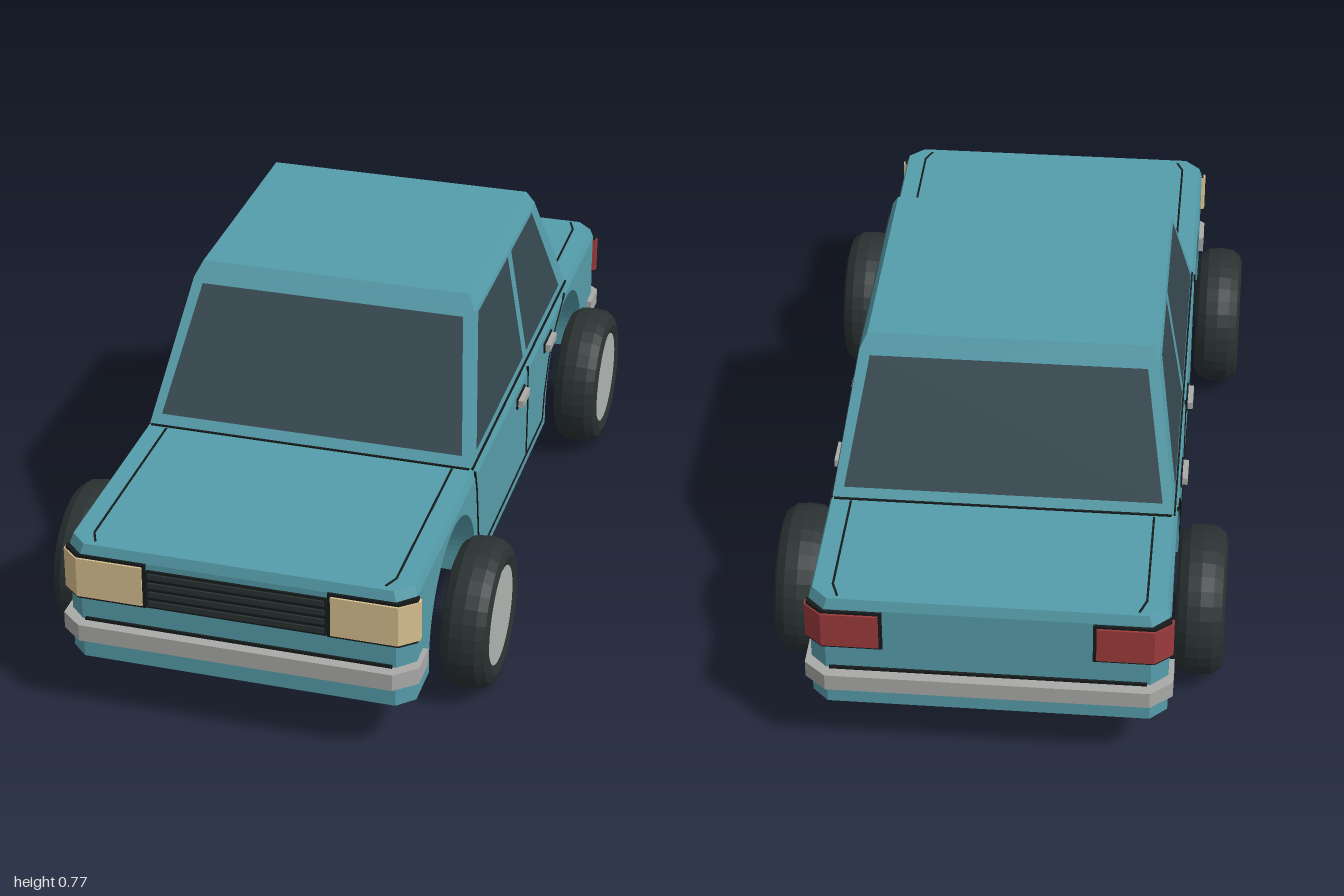
import * as THREE from 'three';

const mat = (color) => new THREE.MeshStandardMaterial({ color, flatShading: true, side: THREE.DoubleSide });

export function createModel() {
  const car = new THREE.Group();
  car.name = 'car';
  const paint = mat(0x569dab), glass = mat(0x35484f), dark = mat(0x2a3232), black = mat(0x161a1a);
  const chrome = mat(0xa9aaa8), hubGrey = mat(0xb0b5b1), cream = mat(0xd8c090), red = mat(0x9c3a3c);

  const add = (name, geometry, material) => {
    const mesh = new THREE.Mesh(geometry, material);
    mesh.name = name;
    car.add(mesh);
    return mesh;
  };
  const box = (name, size, pos, material) =>
    add(name, new THREE.BoxGeometry(...size), material).position.set(...pos);
  // Plan outline of [x, z] points raised from y0 to y1
  const slab = (name, plan, y0, y1, material) => {
    const shape = new THREE.Shape(plan.map(([x, z]) => new THREE.Vector2(x, -z)));
    const g = new THREE.ExtrudeGeometry(shape, { depth: y1 - y0, bevelEnabled: false });
    return add(name, g.rotateX(-Math.PI / 2).translate(0, y0, 0), material);
  };
  // Thin dark strip along a path
  const seam = (name, points) => {
    for (let i = 1; i < points.length; i++) {
      const a = new THREE.Vector3(...points[i - 1]), b = new THREE.Vector3(...points[i]);
      const strip = add(name, new THREE.BoxGeometry(0.005, 0.005, a.distanceTo(b)), black);
      strip.position.copy(a).lerp(b, 0.5);
      strip.lookAt(b);
    }
  };

  // Lower body with wheel arches cut through
  const wheelZ = [-0.583, 0.605], axleY = 0.178, archR = 0.216, halfW = 0.403;
  const side = new THREE.Shape();
  side.moveTo(-0.92, 0.14);
  for (const z of wheelZ) {
    side.lineTo(z - archR, 0.14);
    side.absarc(z, axleY, archR, Math.PI, 0, true);
    side.lineTo(z + archR, 0.14);
  }
  side.lineTo(0.92, 0.14);
  side.lineTo(0.92, 0.41);
  side.lineTo(-0.92, 0.41);
  const bodyGeo = new THREE.ExtrudeGeometry(side, { depth: halfW * 2, bevelEnabled: false, curveSegments: 20 });
  add('body', bodyGeo.rotateY(-Math.PI / 2).translate(halfW, 0, 0), paint);

  // Chamfered nose and tail
  for (const s of [1, -1]) {
    slab(s > 0 ? 'nose' : 'tail', [[-halfW, s * 0.92], [halfW, s * 0.92], [halfW, s * 0.93],
      [0.365, s * 0.967], [-0.365, s * 0.967], [-halfW, s * 0.93]], 0.14, 0.41, paint);
  }

  // Closed loft through rectangular rings of [y, half width, front z, back z]
  const loft = (rings) => {
    const pos = [], index = [];
    for (const [y, w, f, b] of rings) pos.push(w, y, f, w, y, b, -w, y, b, -w, y, f);
    const last = (rings.length - 1) * 4;
    for (let r = 0; r < last; r += 4)
      for (let i = 0; i < 4; i++) {
        const a = r + i, b = r + (i + 1) % 4;
        index.push(a, b, b + 4, a, b + 4, a + 4);
      }
    index.push(last, last + 1, last + 2, last, last + 2, last + 3);
    const g = new THREE.BufferGeometry();
    g.setAttribute('position', new THREE.Float32BufferAttribute(pos, 3));
    g.setIndex(index);
    g.computeVertexNormals();
    return g;
  };

  // Bonnet and boot deck with softened rim
  const deck = [];
  for (const [sx, sz] of [[1, 1], [1, -1], [-1, -1], [-1, 1]]) {
    const corner = [[sx * 0.365, sz * 0.967], [sx * halfW, sz * 0.93]];
    deck.push(...(sx * sz > 0 ? corner : corner.reverse()));
  }
  const deckMesh = slab('deck', deck, 0.41, 0.435, paint);
  const p = deckMesh.geometry.attributes.position;
  for (let i = 0; i < p.count; i++)
    if (p.getY(i) > 0.42) p.setXYZ(i, p.getX(i) * 0.98, p.getY(i), p.getZ(i) * 0.993);

  // Cabin
  add('cabin', loft([[0.435, 0.395, 0.41, -0.6], [0.735, 0.345, 0.204, -0.426], [0.77, 0.328, 0.18, -0.406]]), paint);

  // Windows lie just outside the sloping cabin walls
  const pane = (name, pts) => {
    const g = new THREE.BufferGeometry();
    g.setAttribute('position', new THREE.Float32BufferAttribute(pts.flat(), 3));
    g.setIndex([0, 1, 2, 0, 2, 3]);
    g.computeVertexNormals();
    add(name, g, glass);
  };
  const sideX = (y) => 0.398 - (y - 0.435) / 6;
  const frontZ = (y) => 0.414 - (y - 0.435) * 0.6866;
  const rearZ = (y) => -0.604 + (y - 0.435) * 0.58;
  for (const [name, zAt] of [['windscreen', frontZ], ['rearWindow', rearZ]])
    pane(name, [[-0.368, 0.46], [0.368, 0.46], [0.32, 0.726], [-0.32, 0.726]].map(([x, y]) => [x, y, zAt(y)]));
  const sideWindows = {
    frontSideWindow: [[0.36, 0.46], [-0.117, 0.46], [-0.117, 0.728], [0.183, 0.728]],
    rearSideWindow: [[-0.153, 0.46], [-0.525, 0.46], [-0.378, 0.728], [-0.153, 0.728]],
  };
  for (const s of [1, -1])
    for (const [name, pts] of Object.entries(sideWindows))
      pane(name, pts.map(([z, y]) => [s * sideX(y), y, z]));

  // Underbody
  box('chassis', [0.62, 0.055, 1.72], [0, 0.1425, 0], black);

  // Panel seams and door handles
  for (const s of [1, -1]) {
    const x = s * halfW;
    seam('doorSeam', [[0.41, 0.43], [0.39, 0.37], [0.352, 0.168], [-0.33, 0.168], [-0.345, 0.24],
      [-0.39, 0.32], [-0.46, 0.375], [-0.56, 0.42]].map(([z, y]) => [x, y, z]));
    seam('doorSeam', [[x, 0.425, -0.135], [x, 0.32, -0.145], [x, 0.168, -0.143]]);
    seam('bonnetSeam', [[s * 0.35, 0.434, 0.42], [s * 0.35, 0.434, 0.91], [s * 0.335, 0.434, 0.945]]);
    seam('bootSeam', [[s * 0.35, 0.434, -0.61], [s * 0.35, 0.434, -0.91], [s * 0.335, 0.434, -0.95]]);
    seam('beltSeam', [[s * 0.396, 0.436, 0.41], [s * 0.396, 0.436, -0.6]]);
    for (const z of [-0.058, -0.362]) {
      box('handleRecess', [0.008, 0.028, 0.082], [x, 0.38, z], black);
      box('doorHandle', [0.02, 0.018, 0.074], [s * 0.41, 0.38, z], chrome);
    }
  }
  for (const z of [0.413, -0.603]) seam('windowSeam', [[-0.39, 0.436, z], [0.39, 0.436, z]]);

  // Lights wrapping round the corners, each in a dark surround
  const lamp = (name, sx, sz, inner, y0, y1, grow, material) =>
    slab(name, [[inner, 0.93], [inner, 0.973 + grow], [0.372, 0.973 + grow], [0.408 + grow, 0.942],
      [0.408 + grow, 0.928], [0.39, 0.92]].map(([x, z]) => [sx * x, sz * z]), y0, y1, material);
  for (const sx of [1, -1]) {
    lamp('headlightSurround', sx, 1, 0.21, 0.298, 0.411, 0, black);
    lamp('headlight', sx, 1, 0.218, 0.305, 0.404, 0.005, cream);
    lamp('tailLightSurround', sx, -1, 0.235, 0.305, 0.408, 0, black);
    lamp('tailLight', sx, -1, 0.243, 0.312, 0.401, 0.005, red);
  }

  // Grille with horizontal slats
  box('grille', [0.416, 0.096, 0.012], [0, 0.348, 0.967], black);
  for (let i = 0; i < 4; i++) box('grilleSlat', [0.408, 0.013, 0.012], [0, 0.314 + i * 0.0235, 0.972], dark);

  // Bumpers and their dark backing strips
  for (const s of [1, -1]) {
    const outer = [[0.415, 0.875], [0.415, 0.955], [0.365, 0.998]];
    const inner = [[0.345, 0.966], [0.395, 0.935], [0.395, 0.875]];
    const flip = (pts) => pts.map(([x, z]) => [-x, z]).reverse();
    const plan = [...outer, ...flip(outer), ...flip(inner), ...inner];
    slab('bumper', plan.map(([x, z]) => [x, s * z]), 0.2, 0.241, chrome);
    box('bumperBacking', [0.715, 0.055, 0.012], [0, 0.22, s * 0.967], black);
  }

  // Wheels
  const tyre = [[0.115, -0.05], [0.14, -0.057], [0.16, -0.05], [0.174, -0.03], [0.177, 0],
    [0.174, 0.03], [0.16, 0.05], [0.14, 0.057], [0.115, 0.05]].map(([r, y]) => new THREE.Vector2(r, y));
  const tyreGeo = new THREE.LatheGeometry(tyre, 32).rotateZ(-Math.PI / 2);
  const hubGeo = new THREE.CylinderGeometry(0.117, 0.117, 0.102, 32).rotateZ(-Math.PI / 2);
  for (const s of [1, -1])
    for (const z of wheelZ) {
      const wheel = new THREE.Group();
      wheel.name = z > 0 ? 'frontWheel' : 'rearWheel';
      for (const [name, g, m] of [['tyre', tyreGeo, dark], ['hub', hubGeo, hubGrey]]) {
        const mesh = new THREE.Mesh(g, m);
        mesh.name = name;
        wheel.add(mesh);
      }
      wheel.position.set(s * 0.466, axleY, z);
      car.add(wheel);
    }
  return car;
}
